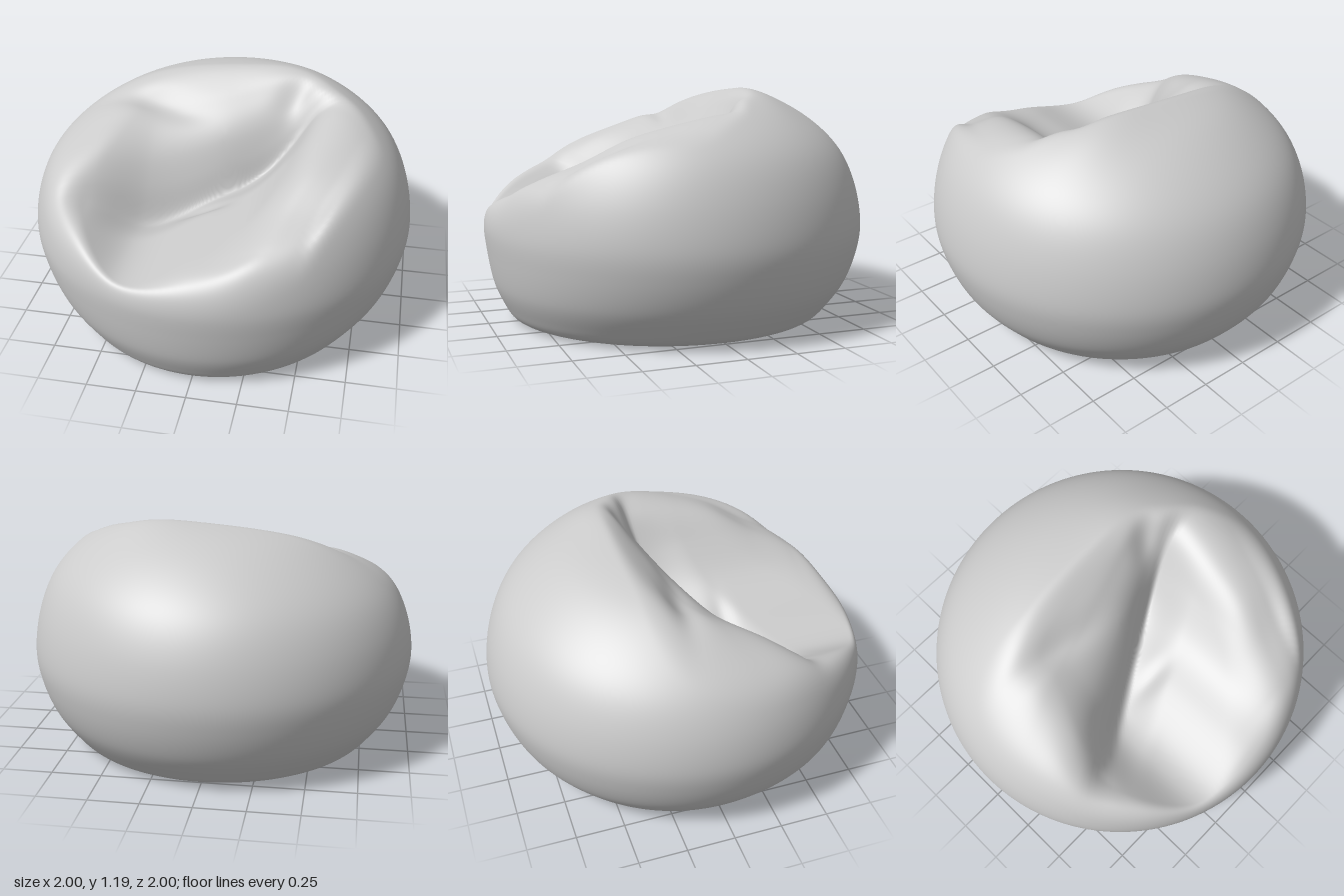
import * as THREE from 'three';
import { mergeVertices } from 'three/addons/utils/BufferGeometryUtils.js';

const { smoothstep } = THREE.MathUtils;

// Smooth curve through a few [position, value] pairs
function curve(pairs) {
  const f = new THREE.CubicInterpolant(pairs.map(p => p[0]), pairs.map(p => p[1]), 1);
  return t => f.evaluate(t)[0];
}

function smoothMin(a, b, k) {
  const h = Math.max(k - Math.abs(a - b), 0) / k;
  return Math.min(a, b) - h * h * k / 4;
}
const smoothMax = (a, b, k) => -smoothMin(-a, -b, k);

// Soft oval bump, turned by an angle in plan
function bump(x, z, cx, cz, rx, rz, angle = 0) {
  const c = Math.cos(angle), s = Math.sin(angle);
  const u = ((x - cx) * c + (z - cz) * s) / rx;
  const v = ((z - cz) * c - (x - cx) * s) / rz;
  return Math.exp(-u * u - v * v);
}

// Plan lines along x: the fold behind the seat and the ridge of the backrest
const foldLine = curve([[-1, 0.62], [-0.6, 0.46], [-0.35, 0.31], [0, 0.12], [0.3, -0.04], [0.5, -0.1], [1, -0.1]]);
const ridgeLine = curve([[-1, 0], [-0.6, -0.15], [-0.3, -0.22], [0, -0.26], [0.4, -0.3], [1, -0.32]]);
// Heights along x: seat lip, bottom of the fold, crown of the backrest
const seatAcross = curve([[-1, 0.88], [-0.8, 0.82], [-0.6, 0.71], [-0.35, 0.57], [0, 0.66], [0.2, 0.74],
  [0.35, 0.88], [0.5, 1.06], [0.7, 1.2], [1, 1.28]]);
const foldHeight = curve([[-1, 0.88], [-0.8, 0.82], [-0.6, 0.71], [-0.35, 0.56], [0, 0.61], [0.2, 0.69],
  [0.35, 0.84], [0.5, 1.02], [0.7, 1.15], [1, 1.2]]);
const crownHeight = curve([[-1, 0.92], [-0.8, 1.0], [-0.6, 1.08], [-0.3, 1.13], [0, 1.18], [0.35, 1.25], [1, 1.28]]);
// Forward fall of the arms along z
const armFall = curve([[-1, 1.6], [-0.3, 1.26], [-0.1, 1.13], [0, 1.1], [0.2, 1.04], [0.4, 0.97],
  [0.6, 0.86], [0.8, 0.77], [0.9, 0.71], [1, 0.58]]);
// Share of the backrest climbed from fold (0) to ridge (1)
const climb = curve([[-1, -1.2], [-0.3, -0.35], [0, 0], [0.12, 0.24], [0.3, 0.51], [0.65, 0.79], [1, 1], [1.4, 1.35], [3, 2.8]]);

// Height of the sat-in hollow
function hollow(x, z) {
  const fold = foldLine(x), ridge = ridgeLine(x);
  let seat = smoothMin(seatAcross(x), armFall(z), 0.13);
  seat -= 0.05 * smoothstep(fold - z, -0.25, 0) * smoothstep(x, -0.6, -0.25) * (1 - smoothstep(x, 0.25, 0.5));
  seat -= 0.02 * bump(x, z, -0.03, 0.28, 0.12, 0.05);
  const low = foldHeight(x);
  let back = low + (crownHeight(x) - low) * climb((fold - z) / (fold - ridge));
  back -= 0.04 * bump(x, z, -0.38, -0.09, 0.28, 0.07, 0.1);
  back -= 0.05 * bump(x, z, 0.35, -0.16, 0.1, 0.06, -0.5);
  return smoothMax(seat, back, 0.05);
}

export function createModel() {
  const group = new THREE.Group();
  group.name = 'beanBag';

  // Plump round body with a flat base
  const profile = new THREE.CatmullRomCurve3([
    [0.73, 0], [0.79, 0.025], [0.85, 0.09], [0.925, 0.2], [0.98, 0.35], [0.999, 0.49], [0.965, 0.69],
    [0.885, 0.86], [0.75, 1.0], [0.55, 1.12], [0.3, 1.18], [0, 1.195],
  ].map(([r, y]) => new THREE.Vector3(r, y, 0)), false, 'centripetal');
  const points = [0, 0.4, 0.68].map(r => new THREE.Vector2(r, 0));
  for (const p of profile.getSpacedPoints(120)) points.push(new THREE.Vector2(Math.max(p.x, 0), Math.max(p.y, 0)));

  const lathe = new THREE.LatheGeometry(points, 180);
  const pos = lathe.attributes.position;
  for (let i = 0; i < pos.count; i++) {
    const x = pos.getX(i), z = pos.getZ(i);
    let y = pos.getY(i);
    // Let the base spread towards the front
    if (z > 0) pos.setZ(i, z * (1 + 0.11 * Math.max(0, 1 - y / 0.45) ** 2));
    if (y > 0.3) {
      // Lean the crown to one side, pinch up its peak, then press in the seat
      y += 0.05 * x * smoothstep(y, 0.4, 1.2);
      y += 0.02 * bump(x, z, 0.32, -0.32, 0.22, 0.13);
      // The rim rounds off more softly towards the front and the low side
      const soft = 0.07 + 0.07 * smoothstep(z, -0.25, 0.25) + 0.06 * smoothstep(-x, 0.3, 0.7);
      y = smoothMin(y, hollow(x, z), soft);
    }
    pos.setY(i, y);
  }

  // Weld the seam so the cloth shades smoothly
  lathe.deleteAttribute('uv');
  lathe.deleteAttribute('normal');
  const geometry = mergeVertices(lathe, 1e-4);
  geometry.computeVertexNormals();

  const bag = new THREE.Mesh(geometry, new THREE.MeshStandardMaterial({ color: 0xcccccc, roughness: 0.9 }));
  bag.name = 'bag';
  group.add(bag);
  return group;
}
